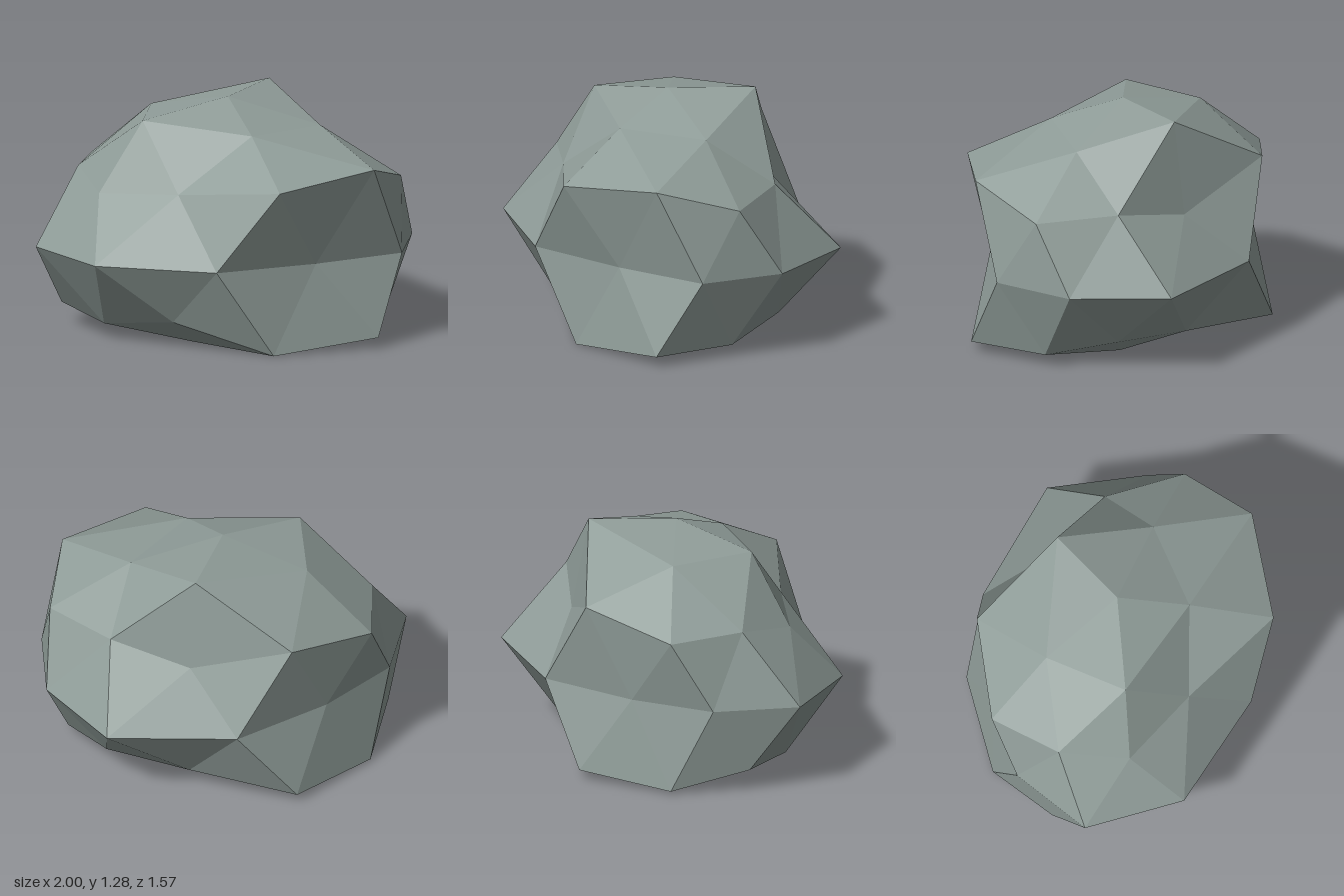
import * as THREE from 'three';

// Rings of a once-subdivided icosphere standing on its pole:
// [horizontal radius, height, first angle in degrees, radial bulge of each vertex]
const RINGS = [
  [0, 1, 0, [0.995]],
  [0.5257, 0.8507, 0, [0.95, 0.97, 1.04, 1.02, 1.175]],
  [null, 1, 0, [1.048, 1.2, 1.235, 0.87, 0.925, 0.952, 1.06, 1.165, 0.825, 0.935]],
  [1, 0, 18, [1.01, 0.88, 1.07, 1.135, 1.073, 0.93, 0.87, 1.07, 1.19, 1.03]],
  [null, -1, 0, [0.985, 1.175, 1.145, 0.915, 0.935, 1.006, 1.105, 1.19, 0.89, 0.92]],
  [0.5257, -0.8507, 36, [1.01, 1.0, 0.97, 0.95, 1.0]],
  [0, -1, 0, [1]],
];

function rockGeometry() {
  const positions = [];
  const start = [];
  RINGS.forEach(([radius, height, first, bulges], ring) => {
    start.push(positions.length / 3);
    bulges.forEach((r, k) => {
      let rad = radius, h = height;
      if (radius === null) {
        // rings 2 and 4 alternate icosahedron corners with edge midpoints
        const corner = (k % 2 === 0) === (ring === 2);
        rad = corner ? 0.8944 : 0.8507;
        h = height * (corner ? 0.4472 : 0.5257);
      }
      const a = THREE.MathUtils.degToRad(first + (360 / bulges.length) * k);
      positions.push(
        0.02 + rad * Math.cos(a) * r,
        Math.max(0, 0.48 + 0.8 * h * r), // flattened underside
        -0.005 + 0.735 * rad * Math.sin(a) * r
      );
    });
  });

  const at = (ring, k) => {
    const n = RINGS[ring][3].length;
    return start[ring] + ((k % n) + n) % n;
  };
  const index = [];
  const tri = (a, b, c, flip) => index.push(a, flip ? c : b, flip ? b : c);

  // Caps: the same pattern above and, mirrored, below
  for (const [pole, inner, outer, shift, flip] of [[0, 1, 2, 0, false], [6, 5, 4, 1, true]]) {
    for (let k = 0; k < 5; k++) {
      const p = at(inner, k), q = at(inner, k + 1);
      const c = at(outer, 2 * k + shift);
      const m = at(outer, 2 * k + 1 + shift);
      const d = at(outer, 2 * k + 2 + shift);
      tri(at(pole, 0), q, p, flip);
      tri(p, m, c, flip);
      tri(q, d, m, flip);
      tri(p, q, m, flip);
    }
  }
  // Zigzag bands on both sides of the equator
  for (const [ring, flip] of [[2, false], [4, true]]) {
    for (let k = 0; k < 10; k++) {
      tri(at(ring, k), at(ring, k + 1), at(3, k), flip);
      tri(at(ring, k + 1), at(3, k + 1), at(3, k), flip);
    }
  }

  const indexed = new THREE.BufferGeometry();
  indexed.setAttribute('position', new THREE.Float32BufferAttribute(positions, 3));
  indexed.setIndex(index);
  const geometry = indexed.toNonIndexed(); // separate faces keep the facets flat
  geometry.computeVertexNormals();
  return geometry;
}

export function createModel() {
  const stone = new THREE.MeshStandardMaterial({ color: 0x8f9c98 });
  stone.name = 'stone grey';
  const rock = new THREE.Mesh(rockGeometry(), stone);
  rock.name = 'boulder';
  const model = new THREE.Group();
  model.name = 'rock';
  model.add(rock);
  return model;
}
